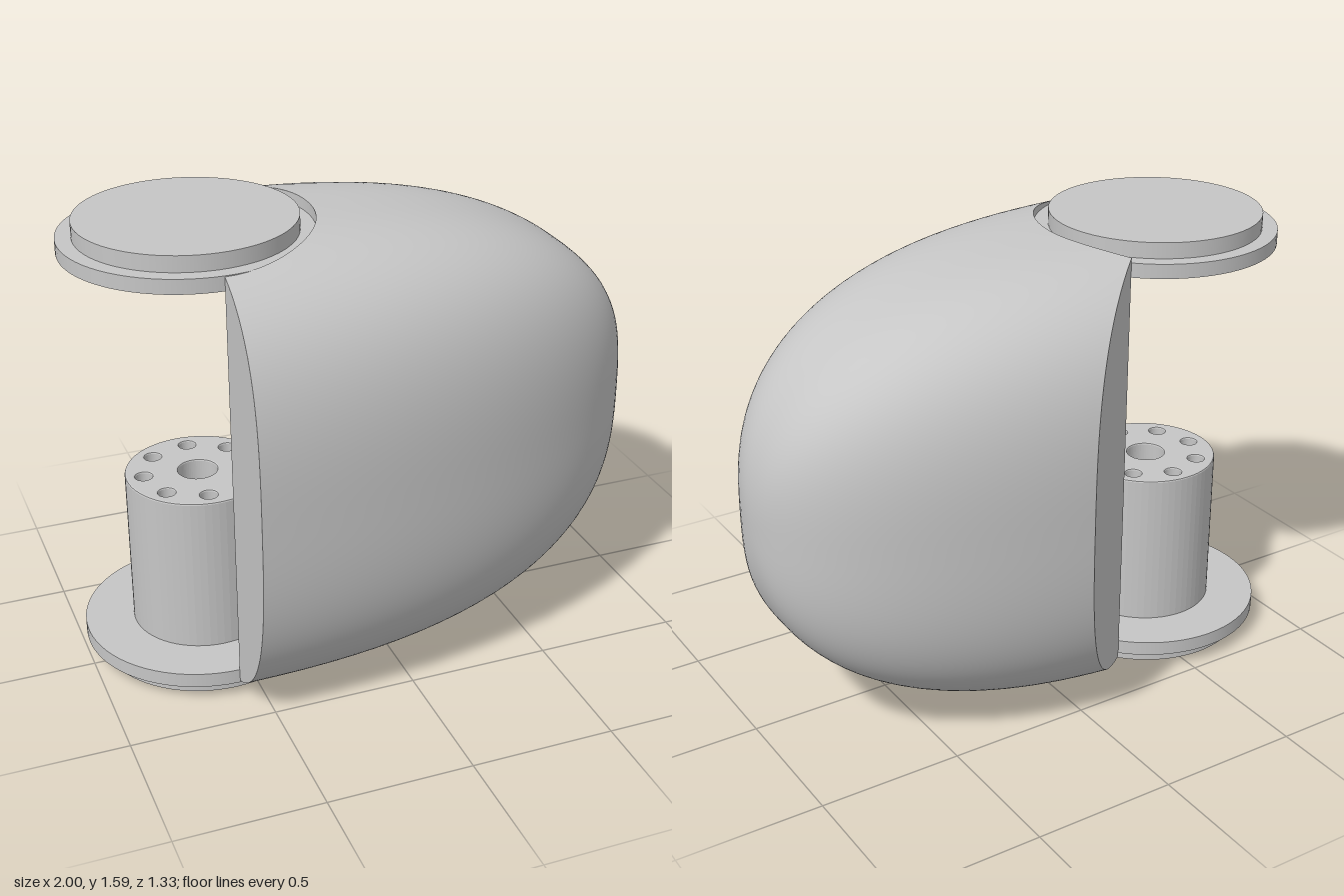
import * as THREE from 'three';
import { ParametricGeometry } from 'three/addons/geometries/ParametricGeometry.js';

const JX = -0.58, JZ = -0.053, MID = 0.797; // joint axis and mid height
const POCKET = 0.418, N = 3;
const START = Math.PI / 2, END = -0.75; // sector of the body around the joint

// Height of the rounded shell above mid height; negative when outside the plan outline
function shellHeight(x, z) {
  const t = Math.max(0, (x - JX) / 1.58);
  if (t >= 1) return -1;
  const front = -0.08 + 0.744 * (1 - t ** 2.05) ** 0.49;
  const back = -0.08 - 0.623 * (1 - t ** 2.4) ** 0.48;
  const w = (2 * z - front - back) / (front - back);
  const g = 1 - Math.abs(w) ** N;
  return g < 0 ? -1 : 0.787 * (1 - t ** 2.9) ** 0.41 * g ** (1 / N);
}

// Distance from the joint axis to the outline along one ray
function reach(angle) {
  let lo = POCKET, hi = 2;
  for (let i = 0; i < 45; i++) {
    const r = (lo + hi) / 2;
    if (shellHeight(JX + r * Math.cos(angle), JZ + r * Math.sin(angle)) >= 0) lo = r;
    else hi = r;
  }
  return lo;
}

// Point of a radial slice: p runs from -1 (bottom inner edge) over the rim to 1 (top)
function slicePoint(angle, p, target) {
  const r = POCKET + (reach(angle) - POCKET) * (1 - Math.abs(p) ** N);
  const x = JX + r * Math.cos(angle), z = JZ + r * Math.sin(angle);
  const y = p === 0 ? 0 : Math.max(0, shellHeight(x, z)) * Math.sign(p);
  return target.set(x, MID + y, z);
}

export function createModel() {
  const model = new THREE.Group();
  const grey = new THREE.MeshStandardMaterial({ color: 0xc6c6c6 });
  grey.name = 'plain grey';

  const add = (name, geometry, parent = model) => {
    const mesh = new THREE.Mesh(geometry, grey);
    mesh.name = name;
    parent.add(mesh);
    return mesh;
  };
  const surface = (fn, u, v) => {
    const g = new ParametricGeometry(fn, u, v);
    g.computeVertexNormals();
    return g;
  };

  // Fingertip body: rounded shell, pocket wall and two flat cut faces
  const body = new THREE.Group();
  body.name = 'fingertipBody';
  model.add(body);
  const angleAt = (u) => START + (END - START) * u;
  add('roundedShell', surface((u, v, t) => slicePoint(angleAt(u), 2 * v - 1, t), 120, 80), body);
  add('pocketWall', surface((u, v, t) => {
    slicePoint(angleAt(1 - u), 1, t);
    t.y = MID + (t.y - MID) * (2 * v - 1);
  }, 64, 1), body);
  const cutFace = (name, angle, flip) => add(name, surface((u, v, t) => {
    slicePoint(angle, 1 - u, t);
    t.y = MID + (t.y - MID) * (2 * v - 1) * flip;
  }, 50, 1), body);
  cutFace('frontCutFace', START, 1);
  cutFace('rearCutFace', END, -1);

  // Stepped hinge discs at the bottom and top
  const disc = (name, radius, y0, y1) => {
    add(name, new THREE.CylinderGeometry(radius, radius, y1 - y0, 72))
      .position.set(JX, (y0 + y1) / 2, JZ);
  };
  disc('lowerCap', 0.367, 0, 0.06);
  disc('lowerFlange', 0.42, 0.055, 0.106);
  disc('upperFlange', 0.42, 1.487, 1.537);
  disc('upperCap', 0.367, 1.535, 1.592);
  disc('upperPad', 0.21, 1.482, 1.492);

  // Upright extrusion of a round plate with round holes given as [x, z, radius]
  const drilled = (name, radius, holes, y0, y1, bevel) => {
    const shape = new THREE.Shape().absarc(0, 0, radius - bevel, 0, Math.PI * 2);
    for (const [x, z, r] of holes) {
      shape.holes.push(new THREE.Path().absarc(x, z, r + bevel, 0, Math.PI * 2, true));
    }
    const geometry = new THREE.ExtrudeGeometry(shape, {
      depth: y1 - y0 - 2 * bevel, curveSegments: 32, bevelEnabled: bevel > 0,
      bevelSize: bevel, bevelThickness: bevel, bevelSegments: 2,
    });
    geometry.rotateX(-Math.PI / 2);
    add(name, geometry).position.set(JX, y0 + bevel, JZ);
  };

  // Hinge post with a centre bore and a ring of eight holes
  const holes = [[0, 0, 0.068]];
  for (let i = 0; i < 8; i++) {
    const a = i * Math.PI / 4 + 0.7;
    holes.push([0.187 * Math.cos(a), 0.187 * Math.sin(a), 0.03]);
  }
  drilled('hingePost', 0.25, holes, 0.1, 0.667, 0.006);

  // Ring boss beneath the upper disc
  drilled('upperBoss', 0.135, [[0, 0, 0.095]], 1.435, 1.487, 0);

  return model;
}
